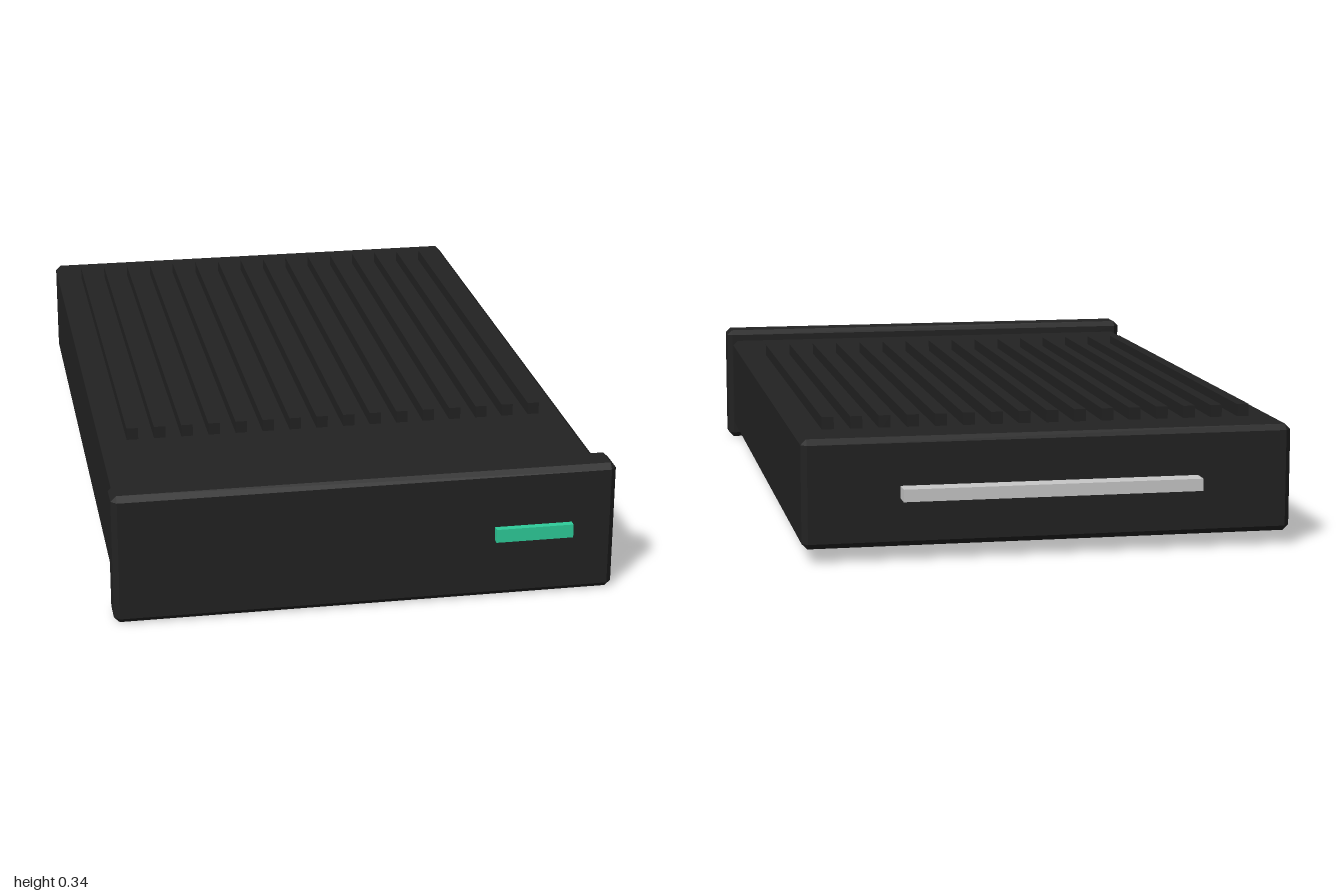
import * as THREE from 'three';
import { ConvexGeometry } from 'three/addons/geometries/ConvexGeometry.js';

// Box with chamfered edges and corners, given by its min and max corners
function chamferBox(min, max, c) {
  const points = [];
  const half = max.map((v, i) => (v - min[i]) / 2);
  const mid = max.map((v, i) => (v + min[i]) / 2);
  for (const sx of [-1, 1]) for (const sy of [-1, 1]) for (const sz of [-1, 1]) {
    const s = [sx, sy, sz];
    for (let axis = 0; axis < 3; axis++) {
      points.push(new THREE.Vector3(...s.map((d, i) => mid[i] + d * (half[i] - (i === axis ? 0 : c)))));
    }
  }
  return new ConvexGeometry(points);
}

// Plain box given by its min and max corners
function box(min, max) {
  const g = new THREE.BoxGeometry(...max.map((v, i) => v - min[i]));
  return g.translate(...max.map((v, i) => (v + min[i]) / 2));
}

export function createModel() {
  const model = new THREE.Group();
  model.name = 'driveCaddy';

  const black = new THREE.MeshStandardMaterial({ color: 0x222222 });
  black.name = 'black';
  const green = new THREE.MeshStandardMaterial({ color: 0x2ecc9a });
  green.name = 'green';
  const silver = new THREE.MeshStandardMaterial({ color: 0xc8c8c8 });
  silver.name = 'silver';

  const add = (parent, name, geometry, material) => {
    const mesh = new THREE.Mesh(geometry, material);
    mesh.name = name;
    parent.add(mesh);
  };

  // Main case and the larger front plate
  add(model, 'case', chamferBox([-0.617, 0.036, -0.95], [0.617, 0.308, 0.885], 0.014), black);
  add(model, 'frontPlate', chamferBox([-0.632, 0, 0.888], [0.632, 0.338, 0.982], 0.014), black);

  // Indicator light on the front, connector at the back
  add(model, 'indicatorLight', box([0.323, 0.155, 0.97], [0.52, 0.19, 1]), green);
  add(model, 'rearConnector', box([-0.375, 0.157, -1], [0.375, 0.188, -0.94]), silver);

  // Cooling fins along the top
  const fins = new THREE.Group();
  fins.name = 'coolingFins';
  const count = 16, pitch = 0.0711;
  for (let i = 0; i < count; i++) {
    const x = (i - (count - 1) / 2) * pitch;
    add(fins, 'fin', box([x - 0.015, 0.29, -0.805], [x + 0.015, 0.339, 0.542]), black);
  }
  model.add(fins);

  return model;
}
